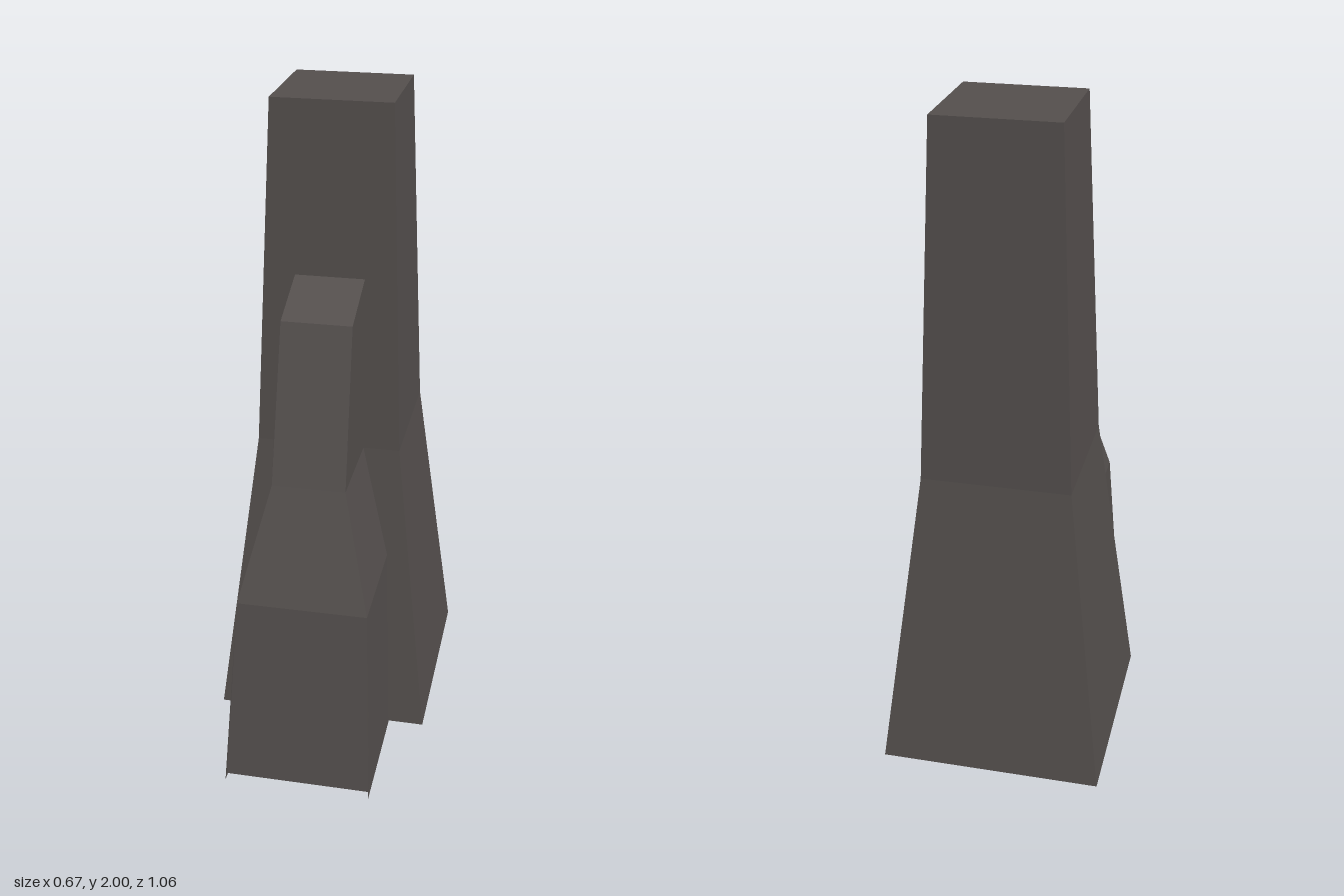
import * as THREE from 'three';

// Strip of quads joining successive rows of points
function loft(rows) {
  const position = [];
  for (let i = 0; i < rows.length - 1; i++) {
    const low = rows[i], high = rows[i + 1];
    for (let j = 0; j < low.length - 1; j++) {
      position.push(...low[j], ...low[j + 1], ...high[j + 1], ...low[j], ...high[j + 1], ...high[j]);
    }
  }
  const geometry = new THREE.BufferGeometry();
  geometry.setAttribute('position', new THREE.Float32BufferAttribute(position, 3));
  geometry.computeVertexNormals();
  return geometry;
}

export function createModel() {
  const stone = new THREE.MeshStandardMaterial({ color: 0x544f4d, side: THREE.DoubleSide, flatShading: true });
  stone.name = 'dark stone';
  const model = new THREE.Group();
  model.name = 'buttressedPillar';
  const add = (name, rows, parent = model) => {
    const mesh = new THREE.Mesh(loft(rows), stone);
    mesh.name = name;
    parent.add(mesh);
  };

  // Tapered square pillar, open underneath: height, half width, back z, front z
  const levels = [
    [0, 0.336, -0.53, 0.143],
    [0.94, 0.222, -0.413, 0.03],
    [2, 0.18, -0.372, -0.013],
  ];
  const rings = levels.map(([y, w, back, front]) => [
    [-w, y, front], [w, y, front], [w, y, back], [-w, y, back], [-w, y, front],
  ]);
  add('pillarWalls', rings);
  const top = rings[2];
  add('pillarTop', [[top[0], top[1]], [top[3], top[2]]]);

  // Buttress made of thin sheets running back inside the pillar
  const buttress = new THREE.Group();
  buttress.name = 'buttress';
  model.add(buttress);
  const innerZ = -0.18;
  const steps = [ // height, half width, front z
    [0, 0.225, 0.53],
    [0.59, 0.197, 0.433],
    [0.94, 0.11, 0.322],
    [1.41, 0.11, 0.2],
  ];
  for (const side of [1, -1]) {
    const rows = steps.map(([y, w, z]) => {
      const row = [[side * w, y, z], [side * w, y, innerZ]];
      return side > 0 ? row : row.reverse();
    });
    // upper edge follows the sloping cap
    rows.push(rows[3].map(([x, , z]) => [x, z === innerZ ? 1.553 : 1.41, z]));
    add(side > 0 ? 'leftButtressWall' : 'rightButtressWall', rows, buttress);
  }

  // Front panel sits slightly inside the foot of the walls
  add('buttressFront', steps.map(([y, w, z], i) => {
    const frontZ = i === 0 ? 0.51 : z;
    const h = i === 0 ? 0.008 : y;
    const half = i === 3 ? 0.105 : w;
    return [[-half, h, frontZ], [half, h, frontZ]];
  }), buttress);

  // Sloping cap
  add('buttressCap', [
    [[-0.105, 1.41, 0.2], [0.105, 1.41, 0.2]],
    [[-0.105, 1.553, innerZ], [0.105, 1.553, innerZ]],
  ], buttress);

  return model;
}
